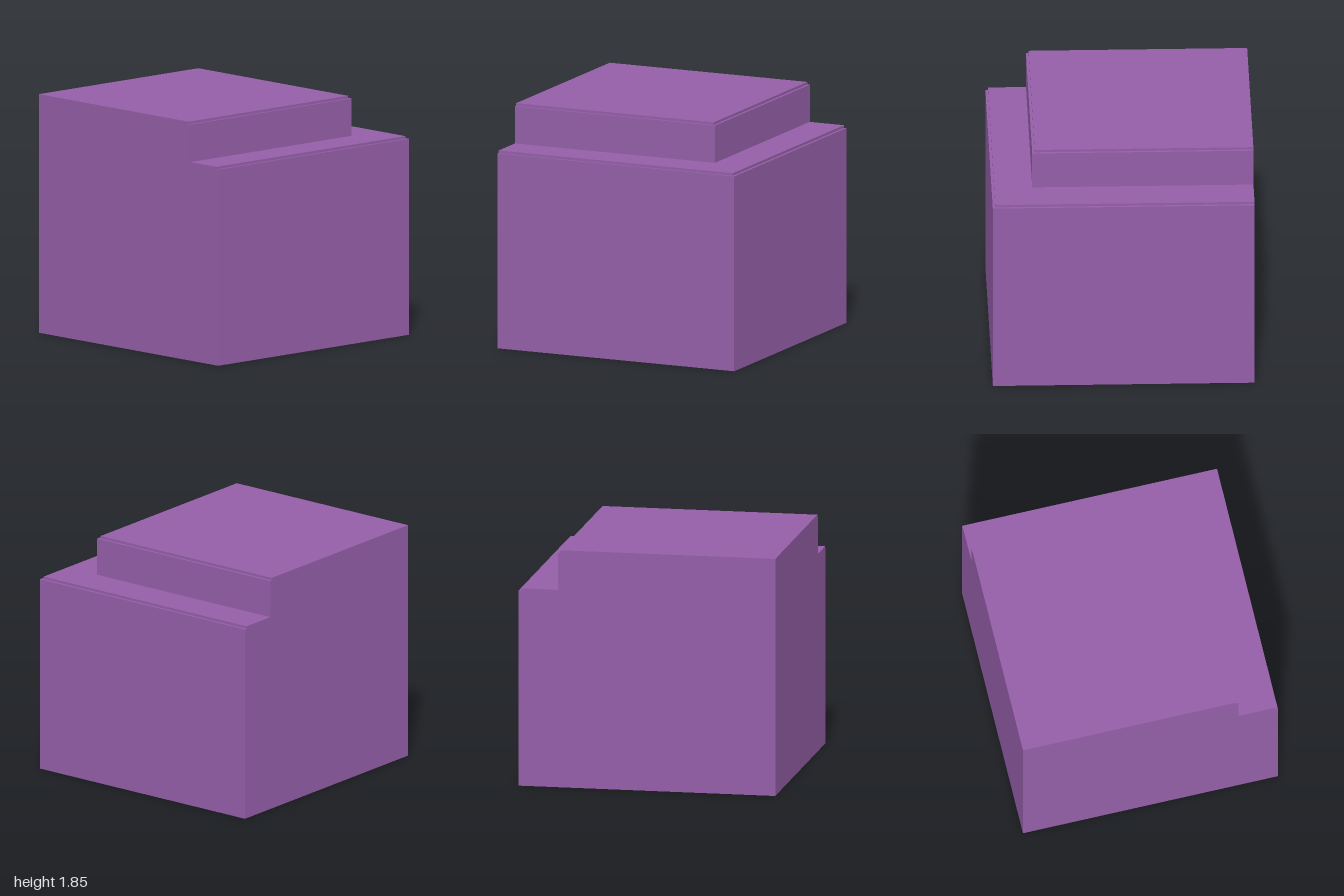
import * as THREE from 'three';

export function createModel() {
  const group = new THREE.Group();
  group.name = 'steppedBlock';
  const purple = new THREE.MeshStandardMaterial({ color: 0x945ea8 });
  purple.name = 'purple';

  // Square tiers stacked upward, all sharing the back corner at x = -1, z = -1
  const tiers = [
    ['baseBlock', 2.0, 0, 1.52],
    ['baseLip', 1.98, 1.52, 1.54],
    ['upperBlock', 1.69, 1.54, 1.83],
    ['upperLip', 1.67, 1.83, 1.85],
  ];
  for (const [name, size, bottom, top] of tiers) {
    const mesh = new THREE.Mesh(new THREE.BoxGeometry(size, top - bottom, size), purple);
    mesh.name = name;
    mesh.position.set(size / 2 - 1, (bottom + top) / 2, size / 2 - 1);
    group.add(mesh);
  }
  return group;
}
